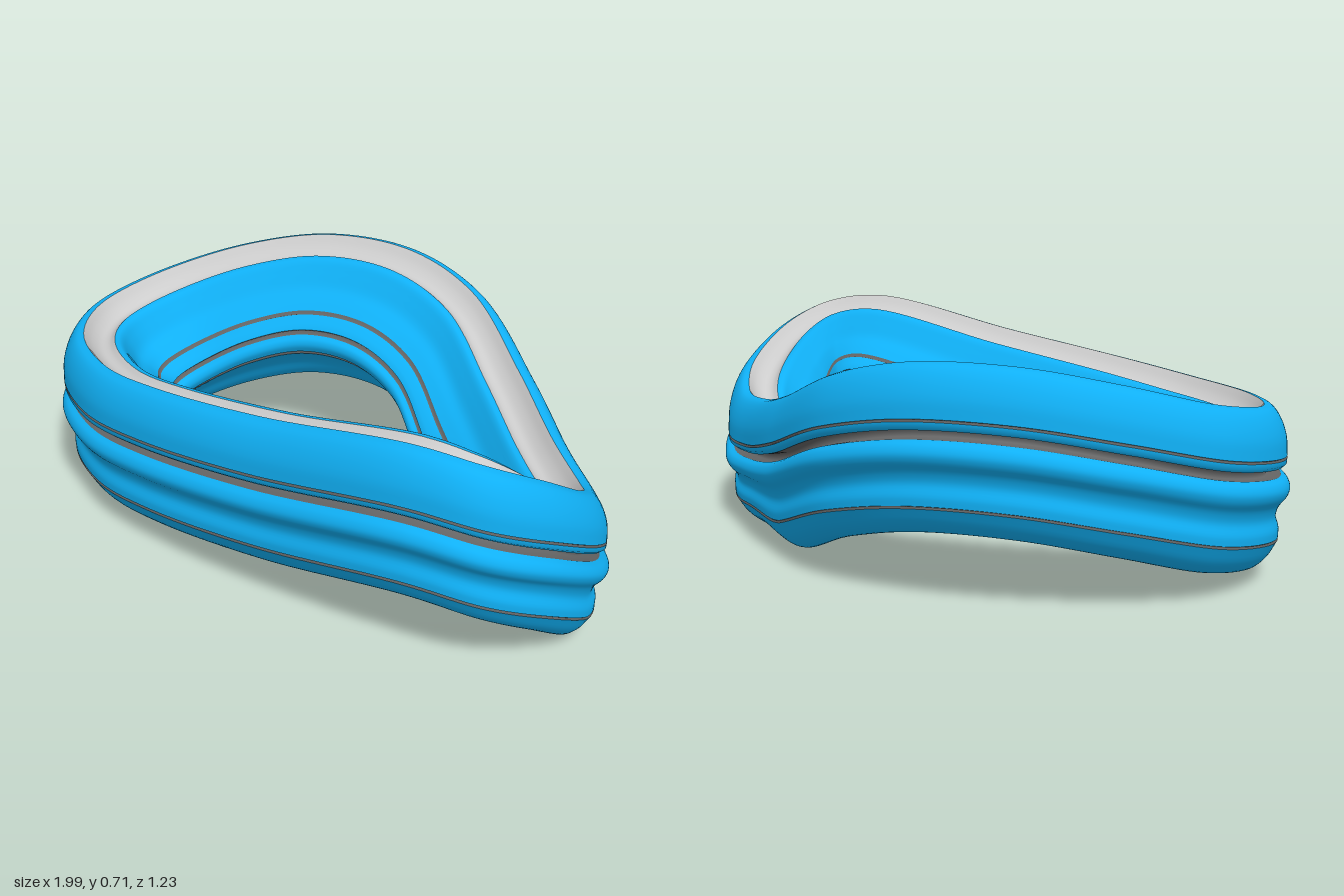
import * as THREE from 'three';

// stations round the ring: outer x, outer z, inner x, inner z, height of the upper seam
const STATIONS = [
  [-1.0, 0.08, -0.61, 0.07, 0.38], [-0.93, -0.18, -0.57, 0.0, 0.42],
  [-0.72, -0.41, -0.46, -0.09, 0.49], [-0.45, -0.56, -0.31, -0.17, 0.54],
  [-0.13, -0.62, -0.13, -0.2, 0.54], [0.17, -0.57, 0.04, -0.18, 0.48],
  [0.48, -0.38, 0.22, -0.07, 0.36], [0.72, -0.18, 0.42, 0.08, 0.29],
  [0.9, -0.02, 0.56, 0.185, 0.28], [0.99, 0.15, 0.585, 0.195, 0.35],
  [0.96, 0.37, 0.59, 0.2, 0.46], [0.84, 0.53, 0.585, 0.2, 0.53],
  [0.62, 0.6, 0.55, 0.2, 0.555], [0.1, 0.61, 0.1, 0.2, 0.47],
  [-0.35, 0.58, -0.25, 0.19, 0.41], [-0.62, 0.52, -0.42, 0.17, 0.38],
  [-0.85, 0.39, -0.54, 0.13, 0.37], [-0.96, 0.24, -0.6, 0.1, 0.37],
];
const DEPTH = 0.41; // width of the section from outer to inner edge
const N = STATIONS.length * 12;

const loop = (f) => new THREE.CatmullRomCurve3(STATIONS.map(f), true);
const outer = loop(([x, z, , , h]) => new THREE.Vector3(x, h, z));
const inner = loop(([, , x, z, h]) => new THREE.Vector3(x, h, z));

const blue = new THREE.MeshStandardMaterial({ color: 0x10b0f5 });
const grey = new THREE.MeshStandardMaterial({ color: 0xcccccc });
const dark = new THREE.MeshStandardMaterial({ color: 0x666666 });

// closed section as consecutive strips; points are [distance inward, height from seam]
const STRIPS = [
  ['upperOuterWall', blue, [[0.013, 0.005], [0.018, 0.06], [0.038, 0.112], [0.063, 0.142], [0.09, 0.15]]],
  ['topChannel', grey, [[0.09, 0.15], [0.115, 0.118], [0.145, 0.098], [0.17, 0.1], [0.19, 0.115]]],
  ['upperFunnel', blue, [[0.19, 0.115], [0.21, 0.11], [0.235, 0.075], [0.265, 0.03], [0.3, 0.005], [0.33, -0.02]]],
  ['upperFunnelSeam', dark, [[0.33, -0.02], [0.335, -0.03], [0.34, -0.03]]],
  ['upperWaistStep', blue, [[0.34, -0.03], [0.37, -0.045], [0.383, -0.065]]],
  ['upperWaistSeam', dark, [[0.383, -0.065], [0.375, -0.072], [0.388, -0.08]]],
  ['waist', blue, [[0.388, -0.08], [0.405, -0.09], [0.41, -0.11], [0.4, -0.135]]],
  ['lowerWaistSeam', dark, [[0.4, -0.135], [0.38, -0.14], [0.385, -0.15]]],
  ['lowerFunnel', blue, [[0.385, -0.15], [0.345, -0.18], [0.305, -0.22], [0.275, -0.265], [0.25, -0.29]]],
  ['bottomChannel', grey, [[0.25, -0.29], [0.225, -0.28], [0.2, -0.288], [0.175, -0.325]]],
  ['lowerOuterWall', blue, [[0.175, -0.325], [0.14, -0.34], [0.1, -0.334], [0.06, -0.3], [0.03, -0.25]]],
  ['lowerSeam', dark, [[0.03, -0.25], [0.036, -0.246], [0.03, -0.242]]],
  ['ribbedOuterWall', blue, [[0.03, -0.242], [0.03, -0.215], [0.04, -0.18], [0.03, -0.145],
    [0.007, -0.115], [0, -0.09], [0.01, -0.067], [0.03, -0.055]]],
  ['sideGroove', dark, [[0.03, -0.055], [0.075, -0.055], [0.075, -0.03], [0.025, -0.028]]],
  ['upperWallLip', blue, [[0.025, -0.028], [0.014, -0.018], [0.013, -0.003]]],
  ['upperSeam', dark, [[0.013, -0.003], [0.02, 0.001], [0.013, 0.005]]],
];

// sweep one strip of the section round the ring
function sweep(profile) {
  const smooth = profile.length > 3 && profile !== STRIPS[13][2];
  const curve = new THREE.CatmullRomCurve3(profile.map(([d, y]) => new THREE.Vector3(d, y, 0)));
  const pts = smooth ? curve.getPoints((profile.length - 1) * 4)
    : profile.map(([d, y]) => new THREE.Vector3(d, y, 0));
  const M = pts.length, pos = [], idx = [];
  for (let i = 0; i < N; i++) {
    const o = outer.getPoint(i / N), n = inner.getPoint(i / N);
    // the lower half is shallower where the ring dips
    const low = 0.82 + 0.18 * THREE.MathUtils.smoothstep(o.y, 0.28, 0.37);
    for (const p of pts) {
      const q = o.clone().lerp(n, p.x / DEPTH);
      pos.push(q.x, q.y + p.y * (p.y < 0 ? low : 1), q.z);
    }
    for (let j = 0; j < M - 1; j++) {
      const a = i * M + j, b = ((i + 1) % N) * M + j;
      idx.push(a, a + 1, b, b, a + 1, b + 1);
    }
  }
  const g = new THREE.BufferGeometry();
  g.setAttribute('position', new THREE.Float32BufferAttribute(pos, 3));
  g.setIndex(idx);
  g.computeVertexNormals();
  return g;
}

export function createModel() {
  const group = new THREE.Group();
  group.name = 'wavyRing';
  for (const [name, material, profile] of STRIPS) {
    const mesh = new THREE.Mesh(sweep(profile), material);
    mesh.name = name;
    group.add(mesh);
  }
  // stand on the ground, centred
  const box = new THREE.Box3().setFromObject(group);
  const c = box.getCenter(new THREE.Vector3());
  for (const m of group.children) m.geometry.translate(-c.x, -box.min.y, -c.z);
  return group;
}
